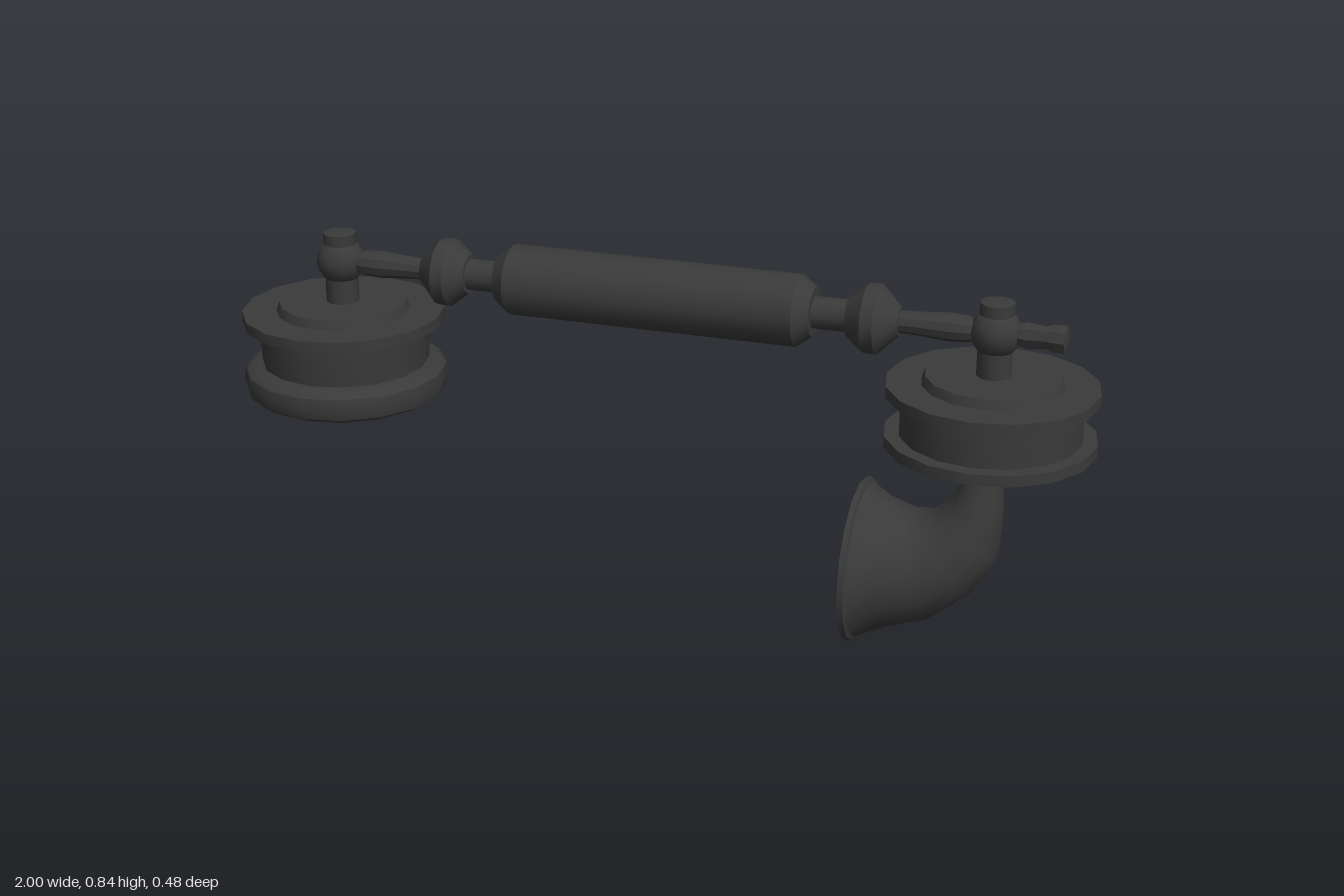
import * as THREE from 'three';
import { toCreasedNormals } from 'three/addons/utils/BufferGeometryUtils.js';

const material = new THREE.MeshStandardMaterial({ color: 0x3a3a3a, side: THREE.DoubleSide });

// Solid of revolution from [radius, height] pairs, listed bottom to top
function turned(name, profile, sides = 16) {
  const points = profile.map(([r, h]) => new THREE.Vector2(r, h));
  const mesh = new THREE.Mesh(toCreasedNormals(new THREE.LatheGeometry(points, sides), 0.6), material);
  mesh.name = name;
  return mesh;
}

// Same, lying along +x
function turnedAlongX(name, profile, sides) {
  const mesh = turned(name, profile, sides);
  mesh.rotation.z = -Math.PI / 2;
  mesh.position.y = 0.763;
  return mesh;
}

// Upright post with ball joint and cap, standing on a capsule
function createPost() {
  const post = new THREE.Group();
  post.name = 'post';
  post.add(turned('stem', [[0, 0.655], [0.038, 0.655], [0.038, 0.83], [0, 0.835]], 12));
  const ball = new THREE.Mesh(new THREE.SphereGeometry(0.056, 12, 8), material);
  ball.name = 'ballJoint';
  ball.position.y = 0.763;
  post.add(ball);
  return post;
}

// Curved horn: each ring spans an inner-bend point and an outer-bend point
function createHorn() {
  const rings = [
    [0.718, 0.45, 0.798, 0.45], [0.702, 0.395, 0.803, 0.35], [0.68, 0.36, 0.8, 0.245],
    [0.64, 0.328, 0.745, 0.15], [0.595, 0.322, 0.66, 0.08], [0.54, 0.34, 0.56, 0.045],
    [0.495, 0.366, 0.497, 0.016], [0.492, 0.376, 0.492, 0.004], [0.48, 0.376, 0.48, 0.002],
    // lining
    [0.48, 0.362, 0.48, 0.018], [0.54, 0.325, 0.56, 0.06], [0.597, 0.307, 0.655, 0.096],
    [0.648, 0.314, 0.732, 0.165], [0.692, 0.35, 0.785, 0.25], [0.715, 0.395, 0.79, 0.36],
  ];
  const sides = 16, positions = [], index = [];
  rings.forEach(([ax, ay, bx, by], i) => {
    const half = Math.hypot(bx - ax, by - ay) / 2;
    for (let j = 0; j < sides; j++) {
      const t = (j / sides) * Math.PI * 2, c = Math.cos(t) / 2;
      positions.push((ax + bx) / 2 + c * (bx - ax), (ay + by) / 2 + c * (by - ay), half * Math.sin(t));
      if (i === rings.length - 1) continue;
      const a = i * sides + j, b = i * sides + (j + 1) % sides;
      index.push(a, b, a + sides, b, b + sides, a + sides);
    }
  });
  const geometry = new THREE.BufferGeometry();
  geometry.setAttribute('position', new THREE.Float32BufferAttribute(positions, 3));
  geometry.setIndex(index);
  const mesh = new THREE.Mesh(toCreasedNormals(geometry, 0.75), material);
  mesh.name = 'horn';
  return mesh;
}

export function createModel() {
  const model = new THREE.Group();
  model.name = 'telephoneHandset';

  // Central grip with chamfered ends
  model.add(turnedAlongX('grip', [
    [0, -0.368], [0.055, -0.368], [0.08, -0.335], [0.08, 0.332], [0.055, 0.365], [0, 0.365],
  ]));

  // Mirrored collars and connecting rods on both sides of the grip
  for (const side of [-1, 1]) {
    const arm = new THREE.Group();
    arm.name = side < 0 ? 'rightArm' : 'leftArm';
    arm.add(turnedAlongX('neck', [[0.036, 0.35], [0.036, 0.45]], 12));
    arm.add(turnedAlongX('collar', [
      [0, 0.442], [0.045, 0.442], [0.077, 0.482], [0.077, 0.51], [0.032, 0.555], [0, 0.555],
    ], 14));
    arm.add(turnedAlongX('rod', [
      [0.024, 0.54], [0.026, 0.6], [0.031, 0.66], [0.029, 0.7], [0.022, 0.725], [0.022, 0.77],
    ], 10));
    if (side < 0) arm.rotation.y = Math.PI;
    model.add(arm);
  }

  // Rod end passing beyond the left joint
  model.add(turnedAlongX('rodEnd', [
    [0, 0.76], [0.022, 0.8], [0.03, 0.83], [0.025, 0.87], [0.031, 0.885], [0.031, 0.912], [0, 0.92],
  ], 8));

  // Earpiece capsule with a rounded lower rim
  const earpiece = new THREE.Group();
  earpiece.name = 'earpiece';
  earpiece.add(turned('earpieceCapsule', [
    [0, 0.442], [0.21, 0.442], [0.232, 0.455], [0.239, 0.48], [0.234, 0.506], [0.218, 0.519],
    [0.194, 0.522], [0.2, 0.62], [0.235, 0.62], [0.235, 0.645],
    [0.155, 0.645], [0.148, 0.666], [0, 0.666],
  ], 16));
  earpiece.add(createPost());
  earpiece.position.x = -0.764;
  model.add(earpiece);

  // Mouthpiece capsule with two flanges, and the horn socket
  const mouthpiece = new THREE.Group();
  mouthpiece.name = 'mouthpiece';
  mouthpiece.add(turned('mouthpieceCapsule', [
    [0, 0.48], [0.148, 0.48], [0.155, 0.505], [0.232, 0.505], [0.232, 0.53],
    [0.199, 0.53], [0.199, 0.62], [0.232, 0.62], [0.232, 0.645],
    [0.155, 0.645], [0.148, 0.666], [0, 0.666],
  ], 16));
  mouthpiece.add(turned('hornSocket', [[0.04, 0.44], [0.047, 0.442], [0.047, 0.485]], 12));
  mouthpiece.add(createPost());
  mouthpiece.position.x = 0.763;
  model.add(mouthpiece);

  model.add(createHorn());
  return model;
}
